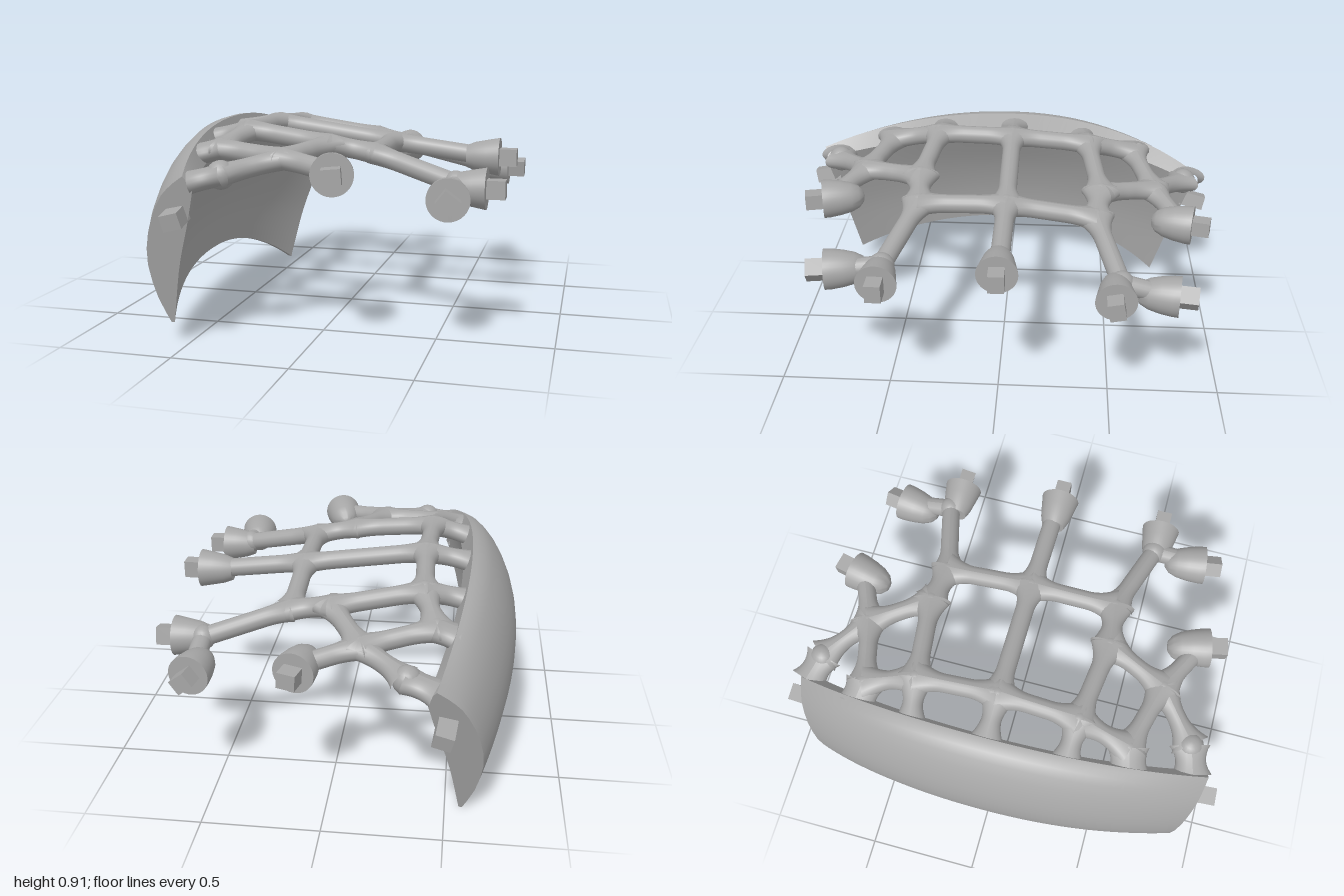
import * as THREE from 'three';
import { toCreasedNormals } from 'three/addons/utils/BufferGeometryUtils.js';

const V = (x, y, z) => new THREE.Vector3(x, y, z);

export function createModel() {
  const model = new THREE.Group();
  const grey = new THREE.MeshStandardMaterial({ color: 0xa6a6a6 });
  grey.name = 'plain grey';

  function add(name, geometry, parent = model) {
    const mesh = new THREE.Mesh(geometry, grey);
    mesh.name = name;
    parent.add(mesh);
    return mesh;
  }

  // Curved shell: a crescent section swept in z, blending from middle to ends
  function shellGeometry() {
    const N = 14, M = 48;
    const smooth = (pts) => new THREE.SplineCurve(pts.map(p => new THREE.Vector2(...p))).getPoints(N - 1);
    const loop = (outer, inner) => [...smooth(outer), ...smooth(inner)];
    const middle = loop(
      [[-0.57, 0.9], [-0.63, 0.885], [-0.71, 0.79], [-0.77, 0.65], [-0.79, 0.5], [-0.765, 0.35], [-0.715, 0.24]],
      [[-0.7, 0.24], [-0.675, 0.42], [-0.62, 0.6], [-0.53, 0.79]]);
    const end = loop(
      [[-0.45, 0.745], [-0.5, 0.71], [-0.56, 0.65], [-0.62, 0.53], [-0.65, 0.38], [-0.625, 0.22], [-0.575, 0.1]],
      [[-0.56, 0.1], [-0.51, 0.35], [-0.45, 0.55], [-0.41, 0.7]]);
    const pos = [], index = [], L = 2 * N;
    for (let i = 0; i <= M; i++) {
      const t = i / M * 2 - 1, w = Math.abs(t) ** 2.1;
      for (let j = 0; j < L; j++) {
        const x = THREE.MathUtils.lerp(middle[j].x, end[j].x, w);
        let y = THREE.MathUtils.lerp(middle[j].y, end[j].y, w);
        if (t < 0) y -= 0.09 * w;
        const half = t > 0 ? 0.8 + 0.19 * y : 0.765 + 0.26 * y;
        pos.push(x, y, t * half);
        if (i < M) {
          const a = i * L + j, b = i * L + (j + 1) % L;
          index.push(a, b, a + L, b, b + L, a + L);
        }
      }
    }
    for (let j = 0; j < N - 1; j++) {
      const a = j, b = j + 1, c = L - 2 - j, d = L - 1 - j, o = M * L;
      index.push(o + a, o + b, o + c, o + a, o + c, o + d);
      index.push(a, c, b, a, d, c);
    }
    const g = new THREE.BufferGeometry();
    g.setAttribute('position', new THREE.Float32BufferAttribute(pos, 3));
    g.setIndex(index);
    return toCreasedNormals(g, 0.7);
  }
  add('curvedShell', shellGeometry());

  // Lattice bar between two points, widened sideways near its joints
  const R = 0.042;
  function bar(a, b, flareA = true, flareB = true) {
    const dir = b.clone().sub(a), len = dir.length();
    dir.normalize();
    const g = new THREE.CylinderGeometry(R, R, len, 18, 24, true);
    const p = g.attributes.position;
    const flare = d => Math.max(0, 1 - d / 0.13) ** 2;
    for (let i = 0; i < p.count; i++) {
      const d = p.getY(i) + len / 2;
      const f = (flareA ? flare(d) : 0) + (flareB ? flare(len - d) : 0);
      p.setX(i, p.getX(i) * (1 + 1.15 * f));
      p.setZ(i, p.getZ(i) * (1 + 0.12 * f));
    }
    g.computeVertexNormals();
    const side = dir.clone().cross(V(0, 1, 0)).normalize();
    const up = side.clone().cross(dir);
    g.applyMatrix4(new THREE.Matrix4().makeBasis(side, dir, up));
    g.translate(...a.clone().add(b).multiplyScalar(0.5).toArray());
    add('latticeBar', g);
  }

  // Lattice joints
  const node = {
    s0: V(-0.58, 0.83, -0.02), a0: V(-0.36, 0.868, -0.02), b0: V(0.2, 0.79, -0.02), e0: V(0.6, 0.74, -0.015),
    // +z half
    sP: V(-0.58, 0.82, 0.33), aP: V(-0.38, 0.868, 0.34), cP: V(0, 0.82, 0.39), bP: V(0.2, 0.785, 0.37),
    hP: V(0.57, 0.685, 0.485), dP: V(-0.12, 0.79, 0.66), kP: V(0.09, 0.765, 0.77), eP: V(-0.43, 0.81, 0.575),
    tP: V(-0.53, 0.785, 0.6), fP: V(-0.33, 0.74, 0.835), uP: V(-0.45, 0.71, 0.87), gP: V(0.575, 0.665, 0.64),
    // -z half
    sN: V(-0.58, 0.79, -0.36), aN: V(-0.37, 0.835, -0.39), cN: V(0.02, 0.77, -0.445), bN: V(0.2, 0.735, -0.42),
    hN: V(0.57, 0.63, -0.525), dN: V(-0.13, 0.715, -0.7), kN: V(0.09, 0.675, -0.8), eN: V(-0.43, 0.77, -0.615),
    tN: V(-0.53, 0.74, -0.63), fN: V(-0.33, 0.665, -0.865), uN: V(-0.45, 0.635, -0.9), gN: V(0.57, 0.59, -0.68),
  };
  const link = (pairs) => pairs.forEach(([a, b, fa, fb]) => bar(node[a], node[b], fa, fb));
  link([['s0', 'a0'], ['a0', 'b0'], ['b0', 'e0', true, false]]);
  for (const h of ['P', 'N']) {
    link([['s', 'a'], ['a', 'c'], ['c', 'b'], ['c', 'd'], ['d', 'e'], ['d', 'f'], ['a', 'e'], ['e', 't'], ['f', 'u']]
      .map(([a, b]) => [a + h, b + h]));
    link([['a0', 'a' + h], ['b0', 'b' + h], ['b' + h, 'h' + h, true, false],
      ['d' + h, 'k' + h, true, false], ['h' + h, 'g' + h, false, false]]);
  }
  for (const [key, p] of Object.entries(node)) {
    if ('stu'.includes(key[0])) continue;
    const r = key[0] === 'f' ? 0.06 : key[0] === 'h' ? 0.055 : 0.048;
    add('latticeJoint', new THREE.SphereGeometry(r, 18, 12)).position.copy(p);
  }

  // Cups with a square peg, opening along a direction
  const profiles = {
    socket: [[0, -0.15], [0.052, -0.15], [0.067, -0.11], [0.077, -0.06], [0.088, 0], [0, 0]],
    dome: [[0, -0.19], [0.025, -0.185], [0.05, -0.165], [0.068, -0.13], [0.08, -0.08], [0.087, -0.03], [0.088, 0], [0, 0]],
  };
  function peg(name, mouth, dir, spin, parent = model) {
    const holder = new THREE.Group();
    holder.name = name;
    holder.position.copy(mouth);
    holder.quaternion.setFromUnitVectors(V(0, 1, 0), dir.clone().normalize());
    const block = add('squarePeg', new THREE.BoxGeometry(0.078, 0.12, 0.068), holder);
    block.position.y = 0.018;
    block.rotation.y = spin;
    parent.add(holder);
    return holder;
  }
  function cup(kind, mouth, dir, spin = 0) {
    const holder = peg(kind + 'Cup', mouth, dir, spin);
    const lathe = new THREE.LatheGeometry(profiles[kind].map(p => new THREE.Vector2(...p)), 32);
    add(kind, toCreasedNormals(lathe, 0.8), holder);
  }
  cup('socket', V(0.7, 0.735, -0.01), V(1, 0, 0));
  cup('socket', V(0.7, 0.67, 0.49), V(1, 0, 0));
  cup('socket', V(0.7, 0.62, -0.5), V(1, 0, 0), 0.2);
  cup('dome', V(0.13, 0.755, 0.825), V(0.22, 0, 0.97), 0.3);
  cup('dome', V(0.12, 0.665, -0.865), V(0.22, 0, -0.97), -0.3);
  cup('dome', V(0.575, 0.658, 0.73), V(0.15, 0, 0.98), -0.5);
  cup('dome', V(0.575, 0.575, -0.775), V(0.15, 0, -0.98), 0.5);

  // Pegs on the two end faces of the shell
  peg('shellEndPeg', V(-0.49, 0.58, 0.925), V(0.1, -0.15, 0.98), 0.35);
  peg('shellEndPeg', V(-0.49, 0.485, -0.925), V(0.1, -0.2, -0.97), -0.35);

  return model;
}
